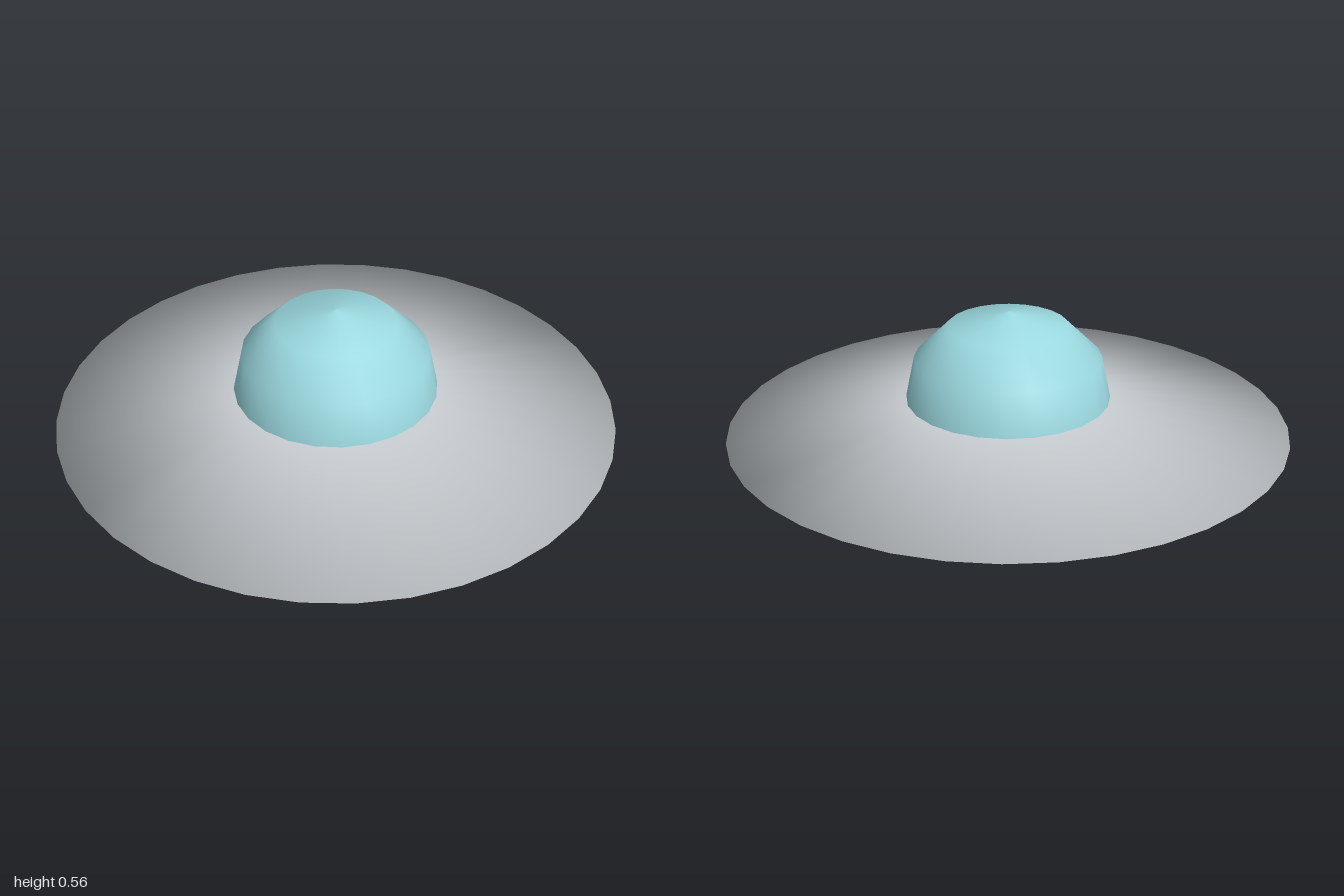
import * as THREE from 'three';

const hullGrey = new THREE.MeshStandardMaterial({ color: 0xc8cdd1 });
hullGrey.name = 'hull grey';
const domeBlue = new THREE.MeshStandardMaterial({ color: 0x9ad8df });
domeBlue.name = 'dome pale blue';

// Smooth surface of revolution; the profile runs from bottom to top as [radius, y]
function turned(name, profile, sides, material) {
  const points = profile.map(([r, y]) => new THREE.Vector2(r, y));
  const mesh = new THREE.Mesh(new THREE.LatheGeometry(points, sides), material);
  mesh.name = name;
  return mesh;
}

export function createModel() {
  const model = new THREE.Group();
  model.name = 'flyingSaucer';

  // Lens-shaped hull with a sharp rim
  model.add(turned('hull', [
    [0, 0], [0.37, 0.018], [1, 0.123], [0.36, 0.24], [0, 0.247],
  ], 36, hullGrey));

  // Faceted-profile cockpit dome
  model.add(turned('dome', [
    [0.363, 0.238], [0.332, 0.389], [0.213, 0.508], [0, 0.56],
  ], 24, domeBlue));

  return model;
}
